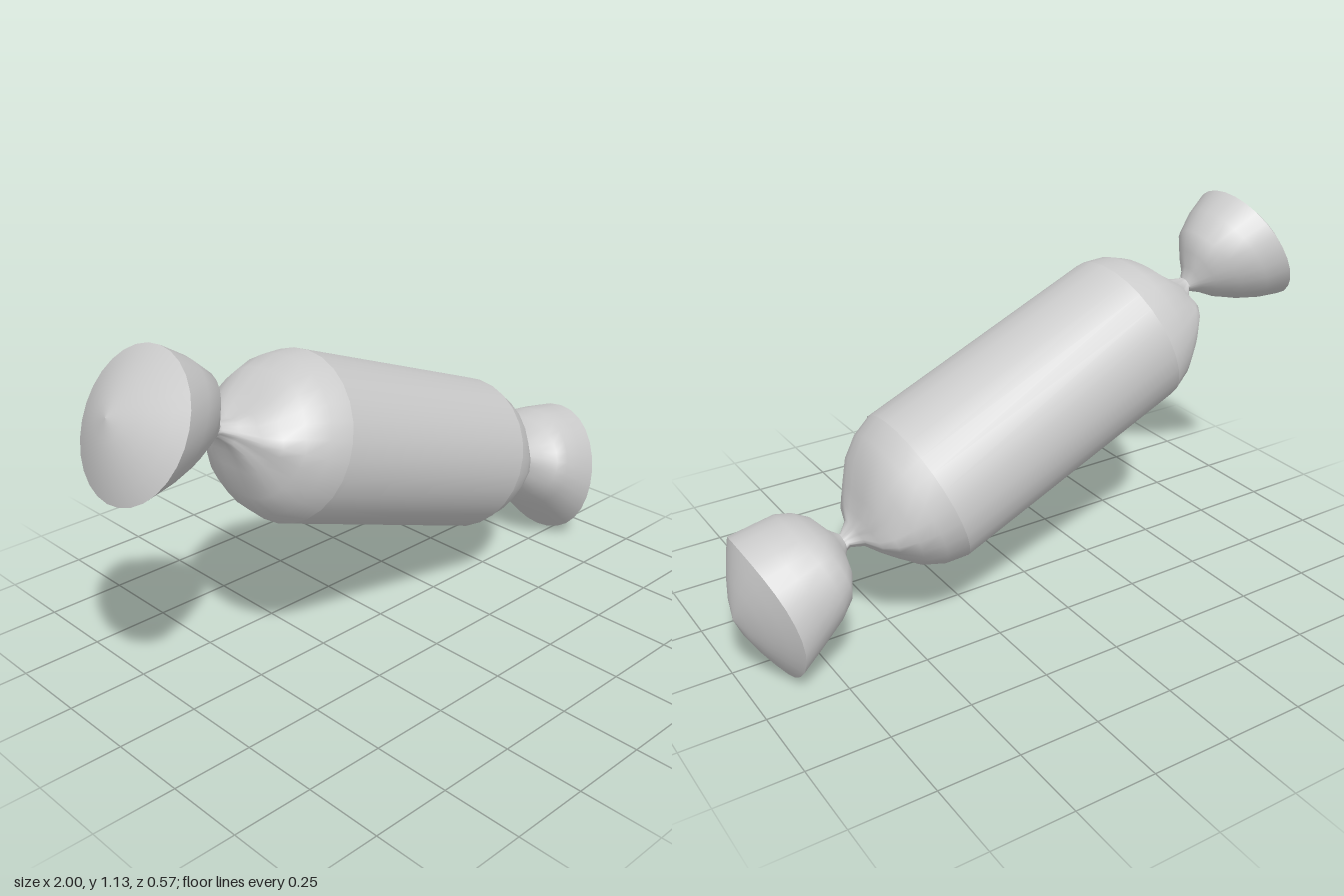
import * as THREE from 'three';

const SIDES = 28;
const material = new THREE.MeshStandardMaterial({ color: 0xcccccc, side: THREE.DoubleSide });

// Ring: centre, up half-axis [dx, dy], half-width w in z,
// bow = x shift of the two z sides, pleat = strength of the folds
const ring = (c, up, w, bow = 0, pleat = 0) => ({ c, up, w, bow, pleat });

// Skin a list of rings ordered from -x to +x
function loft(name, rings) {
  const pos = [], index = [];
  for (const { c, up, w, bow, pleat } of rings) {
    for (let j = 0; j < SIDES; j++) {
      const a = (j / SIDES) * Math.PI * 2;
      const k = 1 + pleat * Math.cos(6 * a + Math.PI);
      const cs = Math.cos(a) * k, sn = Math.sin(a) * k;
      pos.push(c[0] + up[0] * cs + bow * sn * sn, c[1] + up[1] * cs, c[2] + w * sn);
    }
  }
  for (let i = 0; i < rings.length - 1; i++) {
    for (let j = 0; j < SIDES; j++) {
      const a = i * SIDES + j, b = i * SIDES + (j + 1) % SIDES;
      index.push(a, b, a + SIDES, b, b + SIDES, a + SIDES);
    }
  }
  const geometry = new THREE.BufferGeometry();
  geometry.setAttribute('position', new THREE.Float32BufferAttribute(pos, 3));
  geometry.setIndex(index);
  geometry.computeVertexNormals();
  const mesh = new THREE.Mesh(geometry, material);
  mesh.name = name;
  return mesh;
}

// Ring square to the tilted body axis, at distance s from its middle
const axisRing = (s, ry, rz, pleat = 0) =>
  ring([0.931 * s, 0.6 - 0.365 * s, -0.005 - 0.06 * s], [0.365 * ry, 0.931 * ry], rz, 0, pleat);

// Domed closing of a fan: the rim shrinks to an apex
function capRings(rim, apex) {
  return [1, 0.8, 0.55, 0.28, 0.001].map((r) => {
    const t = 1 - Math.pow(r, 1.5);
    const c = rim.c.map((v, i) => v + (apex[i] - v) * t);
    return ring(c, rim.up.map((v) => v * r), rim.w * r, rim.bow * r);
  });
}

export function createModel() {
  const group = new THREE.Group();
  group.name = 'wrappedSweet';

  // Straight barrel
  group.add(loft('body', [axisRing(-0.42, 0.247, 0.26), axisRing(0.425, 0.247, 0.26)]));

  // Gathered shoulders: s, height radius, width radius, pleat
  const shoulder = [
    [0.42, 0.247, 0.26, 0], [0.49, 0.222, 0.242, 0.005], [0.55, 0.177, 0.21, 0.02],
    [0.6, 0.105, 0.17, 0.05], [0.632, 0.062, 0.125, 0.08], [0.655, 0.035, 0.06, 0.1],
    [0.69, 0.022, 0.027, 0.06], [0.72, 0.028, 0.035, 0.03],
  ];
  group.add(loft('rightShoulder', shoulder.map(([s, a, b, p]) => axisRing(-s, a, b, p)).reverse()));
  group.add(loft('leftShoulder', shoulder.map(([s, a, b, p]) => axisRing(s, a, b, p))));

  // Lower wrapper fan on the +x end
  const lowRim = ring([0.92, 0.221, -0.055], [0.05, 0.221], 0.212, -0.035);
  group.add(loft('leftFan', [
    ring([0.65, 0.348, -0.045], [0.008, 0.022], 0.026),
    ring([0.672, 0.345, -0.047], [0.012, 0.04], 0.06, 0, 0.04),
    ring([0.698, 0.34, -0.05], [0.026, 0.088], 0.135, -0.005, 0.02),
    ring([0.735, 0.322, -0.052], [0.035, 0.128], 0.182, -0.015),
    ring([0.78, 0.303, -0.053], [0.045, 0.16], 0.198, -0.025),
    ring([0.85, 0.262, -0.054], [0.048, 0.192], 0.206, -0.03),
    lowRim,
  ]));
  group.add(loft('leftFanEnd', capRings(lowRim, [1.0, 0.215, -0.06])));

  // Upper wrapper fan on the -x end
  const highRim = ring([-0.905, 0.945, 0.052], [0.095, 0.185], 0.21);
  group.add(loft('rightFan', [
    highRim,
    ring([-0.825, 0.922, 0.042], [0.095, 0.158], 0.178),
    ring([-0.752, 0.9, 0.036], [0.085, 0.125], 0.133),
    ring([-0.7, 0.88, 0.034], [0.048, 0.083], 0.083, 0, 0.02),
    ring([-0.672, 0.865, 0.034], [0.022, 0.045], 0.045, 0, 0.04),
    ring([-0.645, 0.853, 0.034], [0.008, 0.022], 0.025),
  ]));
  group.add(loft('rightFanEnd', capRings(highRim, [-0.975, 0.98, 0.04]).reverse()));

  return group;
}
